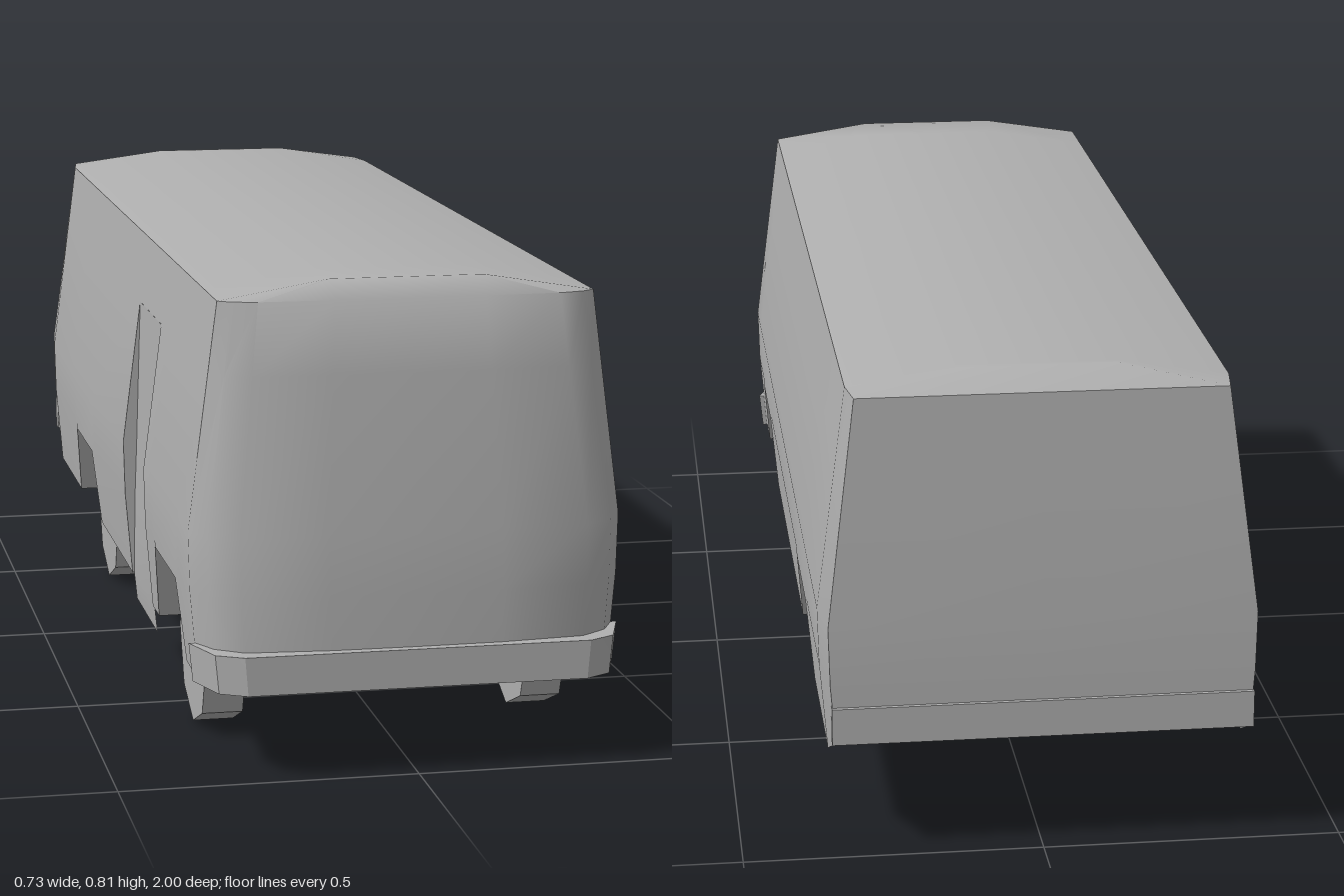
import * as THREE from 'three';
import { toCreasedNormals } from 'three/addons/utils/BufferGeometryUtils.js';

// Piecewise linear lookup through [key, value] pairs sorted by rising key
function lookup(table, k) {
  if (k <= table[0][0]) return table[0][1];
  for (let i = 1; i < table.length; i++) {
    const [a, va] = table[i - 1], [b, vb] = table[i];
    if (k <= b) return va + (vb - va) * (k - a) / (b - a);
  }
  return table[table.length - 1][1];
}

const halfWidth = y => lookup([[0.15, 0.35], [0.28, 0.362], [0.4, 0.365], [0.78, 0.315]], y);
const frontZ = y => lookup([[0.15, 0.985], [0.37, 0.98], [0.78, 0.92]], y);
const rearZ = y => lookup([[0.2, -0.994], [0.4, -0.99], [0.78, -0.957]], y);

// Wheel arch outlines as [z, y]
const ARCHES = [
  [[0.778, 0.15], [0.735, 0.285], [0.51, 0.285], [0.473, 0.15]],
  [[-0.27, 0.15], [-0.318, 0.285], [-0.543, 0.285], [-0.58, 0.15]],
];
const DOOR_FRONT = 0.4, DOOR_BACK = 0.15, EAVE = 0.78, ROOF = 0.81;
const ROWS = [0.3, 0.4, 0.66, EAVE];

// Collects quads (skipping collapsed triangles); mirrored quads are reversed
class Quads {
  constructor() { this.p = []; }
  tri(a, b, c) {
    if (a.distanceTo(b) < 1e-5 || b.distanceTo(c) < 1e-5 || a.distanceTo(c) < 1e-5) return;
    for (const v of [a, b, c]) this.p.push(v.x, v.y, v.z);
  }
  add(a, b, c, d, side = 1) {
    const [q, r, s, t] = (side > 0 ? [a, b, c, d] : [d, c, b, a])
      .map(v => new THREE.Vector3(v.x * side, v.y, v.z));
    this.tri(q, r, s);
    this.tri(q, s, t);
  }
  geometry(crease) {
    const g = new THREE.BufferGeometry();
    g.setAttribute('position', new THREE.Float32BufferAttribute(this.p, 3));
    return toCreasedNormals(g, crease);
  }
}
const V = (x, y, z) => new THREE.Vector3(x, y, z);

// Half-plan columns, from the middle of the front round to the middle of the rear
function bodyColumns() {
  const cols = [];
  for (const [xf, k] of [[0, 1], [0.4, 0.98], [0.8, 0.85], [0.93, 0.5]])
    cols.push({ xf, base: 0.15, z: y => 0.89 + (frontZ(y) - 0.89) * k });
  const side = (z, base = 0.15) => cols.push({ xf: 1, base, z: () => z, at: z });
  side(0.89);
  ARCHES[0].forEach(([z, y]) => side(z, y));
  side(DOOR_FRONT);
  side(DOOR_BACK);
  ARCHES[1].forEach(([z, y]) => side(z, y));
  side(-0.89);
  cols.push({ xf: 0.97, base: 0.2, z: rearZ }, { xf: 0, base: 0.2, z: rearZ });
  return cols;
}

function bodyGeometry() {
  const q = new Quads(), cols = bodyColumns();
  const point = (c, y) => V(c.xf * halfWidth(y), y, c.z(y));
  const inner = c => {
    const o = point(c, EAVE);
    return V(Math.min(0.13, o.x), ROOF, THREE.MathUtils.clamp(o.z, -0.905, 0.885));
  };
  const middle = c => V(0, ROOF, inner(c).z);
  for (const side of [1, -1]) {
    for (let j = 0; j + 1 < cols.length; j++) {
      const a = cols[j], b = cols[j + 1];
      // walls, leaving the doorway open on one side
      for (let r = 0; r < ROWS.length; r++) {
        if (side < 0 && a.at === DOOR_FRONT && r < 3) continue;
        const ya = r ? ROWS[r - 1] : a.base, yb = r ? ROWS[r - 1] : b.base;
        q.add(point(a, ya), point(b, yb), point(b, ROWS[r]), point(a, ROWS[r]), side);
      }
      // roof slope and flat crown
      q.add(point(a, EAVE), point(b, EAVE), inner(b), inner(a), side);
      q.add(inner(a), inner(b), middle(b), middle(a), side);
    }
  }
  return q.geometry(0.75);
}

// Sunken door panel with a lip below the sill, and the jambs beside it
function doorGeometries() {
  const panel = new Quads(), jambs = new Quads();
  const line = [[0.342, 0.1], [0.347, 0.15], [0.344, 0.3], [0.34, 0.4], [0.331, 0.66]];
  for (let i = 0; i + 1 < line.length; i++) {
    const [x0, y0] = line[i], [x1, y1] = line[i + 1];
    panel.add(V(x0, y0, DOOR_FRONT), V(x0, y0, DOOR_BACK), V(x1, y1, DOOR_BACK), V(x1, y1, DOOR_FRONT), -1);
    if (i === 0) continue;
    for (const z of [DOOR_FRONT, DOOR_BACK])
      jambs.add(V(x0, y0, z), V(halfWidth(y0), y0, z), V(halfWidth(y1), y1, z), V(x1, y1, z),
        z === DOOR_FRONT ? 1 : -1);
  }
  // both jambs belong on the -x side
  for (let i = 0; i < jambs.p.length; i += 3) jambs.p[i] = -Math.abs(jambs.p[i]);
  return [panel.geometry(0.5), jambs.geometry(0.3)];
}

// Wheel housings running inwards from the wall openings
function archGeometry(outline, side) {
  const q = new Quads(), depth = 0.248;
  const out = ([z, y]) => V(halfWidth(y), y, z), inn = ([z, y]) => V(depth, y, z);
  for (let i = 0; i < 3; i++)
    q.add(out(outline[i]), inn(outline[i]), inn(outline[i + 1]), out(outline[i + 1]), side);
  const [a, b, c, d] = outline.map(inn);
  q.add(a, d, c, b, side);
  return q.geometry(0.2);
}

function frontBumperGeometry() {
  const outer = [[0.365, 0.89], [0.335, 0.975], [0.29, 1]];
  const inside = [[0.2, 0.96], [0.3, 0.94], [0.34, 0.89]];
  const mirror = pts => pts.map(([x, z]) => [-x, z]).reverse();
  const loop = [...outer, ...mirror(outer), ...mirror(inside), ...inside];
  const shape = new THREE.Shape(loop.map(([x, z]) => new THREE.Vector2(x, -z)));
  const g = new THREE.ExtrudeGeometry(shape, { depth: 0.065, bevelEnabled: false });
  g.rotateX(-Math.PI / 2);
  // slight taper towards the bottom edge
  const p = g.attributes.position;
  for (let i = 0; i < p.count; i++) if (p.getY(i) < 0.01) p.setX(i, p.getX(i) * 0.982);
  g.translate(0, 0.147, 0);
  return toCreasedNormals(g, 0.2);
}

export function createModel() {
  const group = new THREE.Group();
  const grey = new THREE.MeshStandardMaterial({ color: 0xb0b0b0, side: THREE.DoubleSide });
  grey.name = 'plain grey';
  const add = (name, geometry) => {
    const mesh = new THREE.Mesh(geometry, grey);
    mesh.name = name;
    group.add(mesh);
    return mesh;
  };

  add('bodyShell', bodyGeometry());
  const [panel, jambs] = doorGeometries();
  add('sideDoor', panel);
  add('doorJambs', jambs);
  add('frontBumper', frontBumperGeometry());
  add('rearBumper', new THREE.BoxGeometry(0.7, 0.063, 0.03)).position.set(0, 0.232, -0.985);

  // Eight-sided wheels in their housings
  const wheel = toCreasedNormals(new THREE.CylinderGeometry(0.137, 0.137, 0.07, 8).rotateZ(Math.PI / 2), 0.3);
  for (const side of [1, -1]) {
    const hand = side > 0 ? 'Left' : 'Right';
    ARCHES.forEach((outline, i) => {
      const end = i ? 'rear' : 'front';
      add(end + hand + 'WheelArch', archGeometry(outline, side));
      add(end + hand + 'Wheel', wheel).position.set(side * 0.28, 0.137, i ? -0.43 : 0.624);
    });
  }
  return group;
}
